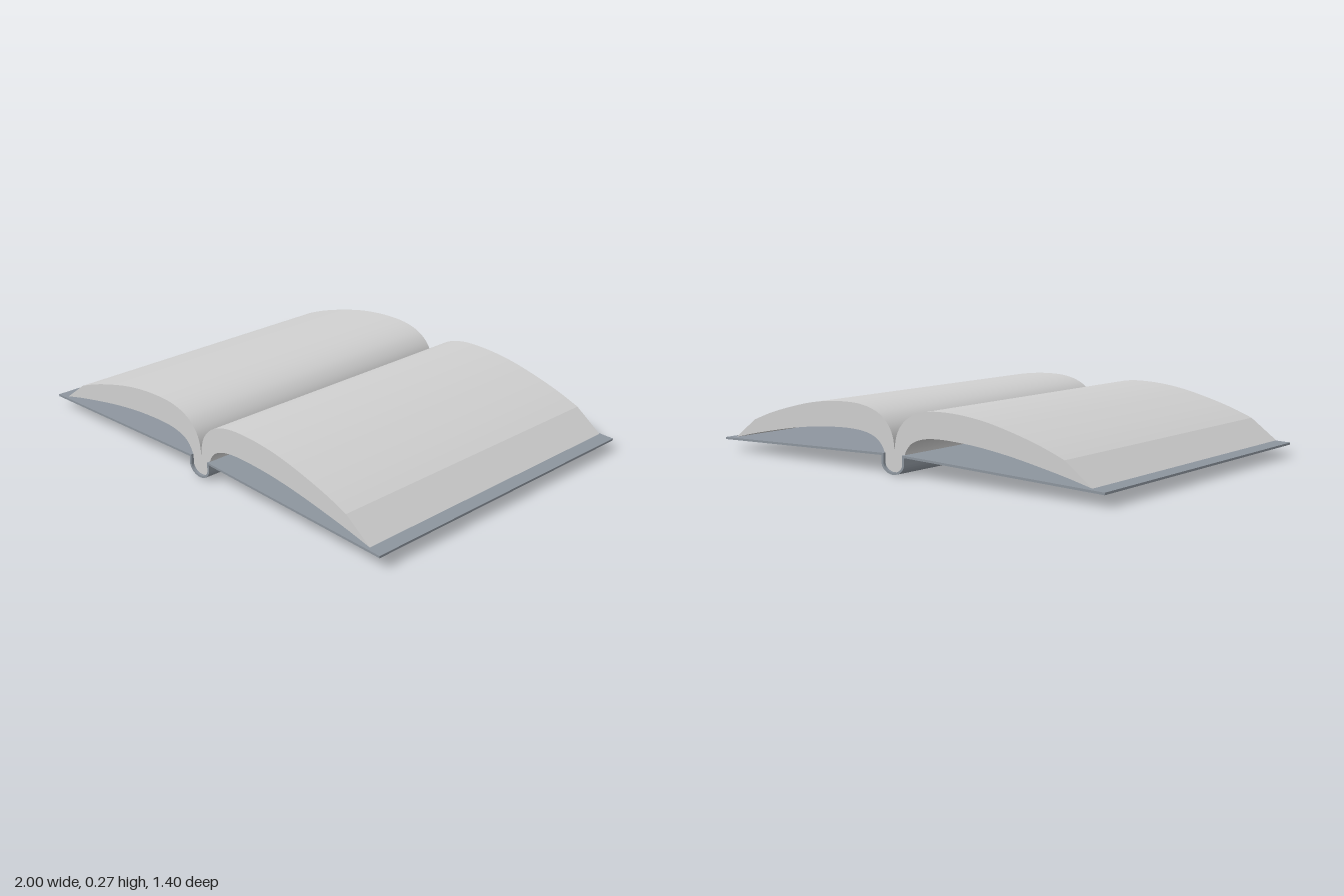
import * as THREE from 'three';
import { toCreasedNormals } from 'three/addons/utils/BufferGeometryUtils.js';

const v = (x, y) => new THREE.Vector2(x, y);

// Smooth curve through a few points
const smooth = (pts, n) => new THREE.SplineCurve(pts.map(([x, y]) => v(x, y))).getPoints(n);

// Mirrors a list of points to -x, in reverse order
const mirror = (pts) => pts.map((p) => v(-p.x, p.y)).reverse();

// Extrudes an outline along z, centred, with smooth curves and sharp edges
function extrude(points, depth) {
  const geo = new THREE.ExtrudeGeometry(new THREE.Shape(points), { depth, bevelEnabled: false });
  geo.translate(0, 0, -depth / 2);
  return toCreasedNormals(geo, 0.22);
}

export function createModel() {
  const paper = new THREE.MeshStandardMaterial({ color: 0xd0d0d0 });
  paper.name = 'paper';
  const cover = new THREE.MeshStandardMaterial({ color: 0x8d959e });
  cover.name = 'cover grey';

  const book = new THREE.Group();
  book.name = 'openBook';
  const add = (name, points, depth, material) => {
    const mesh = new THREE.Mesh(extrude(points, depth), material);
    mesh.name = name;
    book.add(mesh);
  };

  // Page block: arched top, slanted fore edge, arched underside, rounded root
  const top = smooth([[0, 0.095], [0.008, 0.145], [0.03, 0.19], [0.07, 0.227], [0.12, 0.25],
    [0.18, 0.263], [0.25, 0.267], [0.35, 0.263], [0.47, 0.247], [0.6, 0.217], [0.72, 0.182], [0.82, 0.145]], 44);
  const under = smooth([[0.94, 0.058], [0.8, 0.09], [0.6, 0.128], [0.45, 0.149], [0.34, 0.158],
    [0.24, 0.161], [0.16, 0.155], [0.1, 0.136], [0.065, 0.105], [0.051, 0.07], [0.05, 0.045]], 44);
  const root = [];
  for (let i = 1; i <= 8; i++) {
    const a = (i / 8) * Math.PI / 2;
    root.push(v(0.05 * Math.cos(a), 0.045 - 0.036 * Math.sin(a)));
  }
  const half = [...top, ...under, ...root];
  const other = mirror(half).slice(1, -1); // shared points on the centre line dropped
  add('pages', [...half, ...other], 1.376, paper);

  // Cover boards, sloping slightly down from the spine
  const board = [v(0.05, 0.073), v(1, 0.044), v(1, 0.053), v(0.05, 0.082)];
  add('leftCoverBoard', board, 1.4, cover);
  add('rightCoverBoard', mirror(board), 1.4, cover);

  // Rounded spine shell
  const arc = (rx, ry) => {
    const pts = [v(rx, 0.08)];
    for (let i = 0; i <= 24; i++) {
      const a = (i / 24) * Math.PI;
      pts.push(v(rx * Math.cos(a), 0.045 - ry * Math.sin(a)));
    }
    pts.push(v(-rx, 0.08));
    return pts;
  };
  add('spine', [...arc(0.06, 0.045), ...arc(0.05, 0.036).reverse()], 1.4, cover);

  return book;
}
